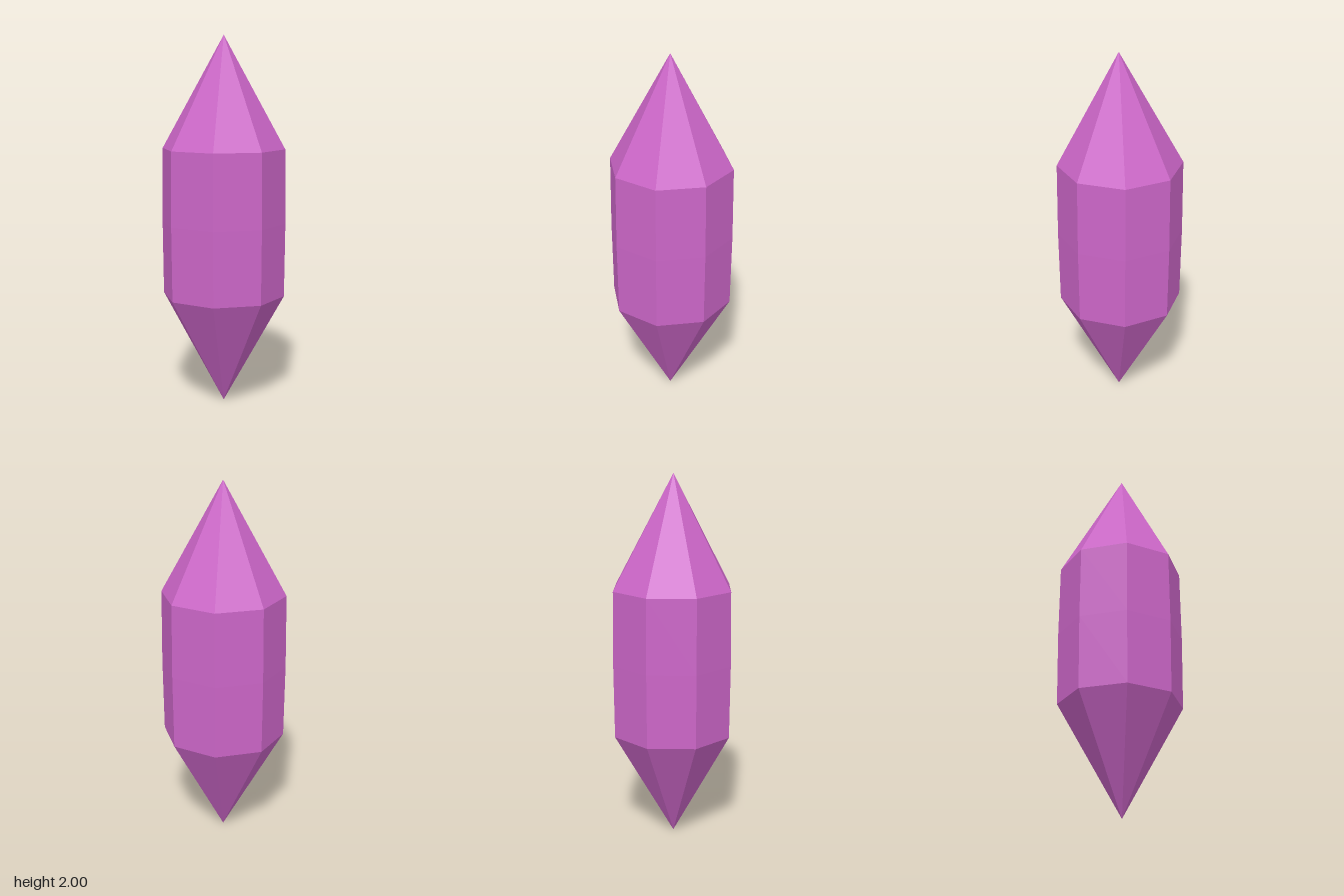
import * as THREE from 'three';

export function createModel() {
  const group = new THREE.Group();
  group.name = 'crystal';

  // Eight-sided double-pointed shaft with a barely swollen waist: [apothem, y]
  const sides = 8;
  const toCorner = 1 / Math.cos(Math.PI / sides);
  const profile = [[0, 0], [0.308, 0.6], [0.312, 1], [0.308, 1.4], [0, 2]]
    .map(([r, y]) => new THREE.Vector2(r * toCorner, y));
  const geometry = new THREE.LatheGeometry(profile, sides, Math.PI / sides);

  // Both tips sit slightly forward of the axis
  const pos = geometry.attributes.position;
  for (let i = 0; i < pos.count; i++) {
    if (Math.abs(pos.getY(i) - 1) > 0.99) pos.setZ(i, 0.008);
  }

  const material = new THREE.MeshStandardMaterial({ color: 0xcc66c8, flatShading: true });
  const gem = new THREE.Mesh(geometry, material);
  gem.name = 'crystalShaft';
  group.add(gem);
  return group;
}
